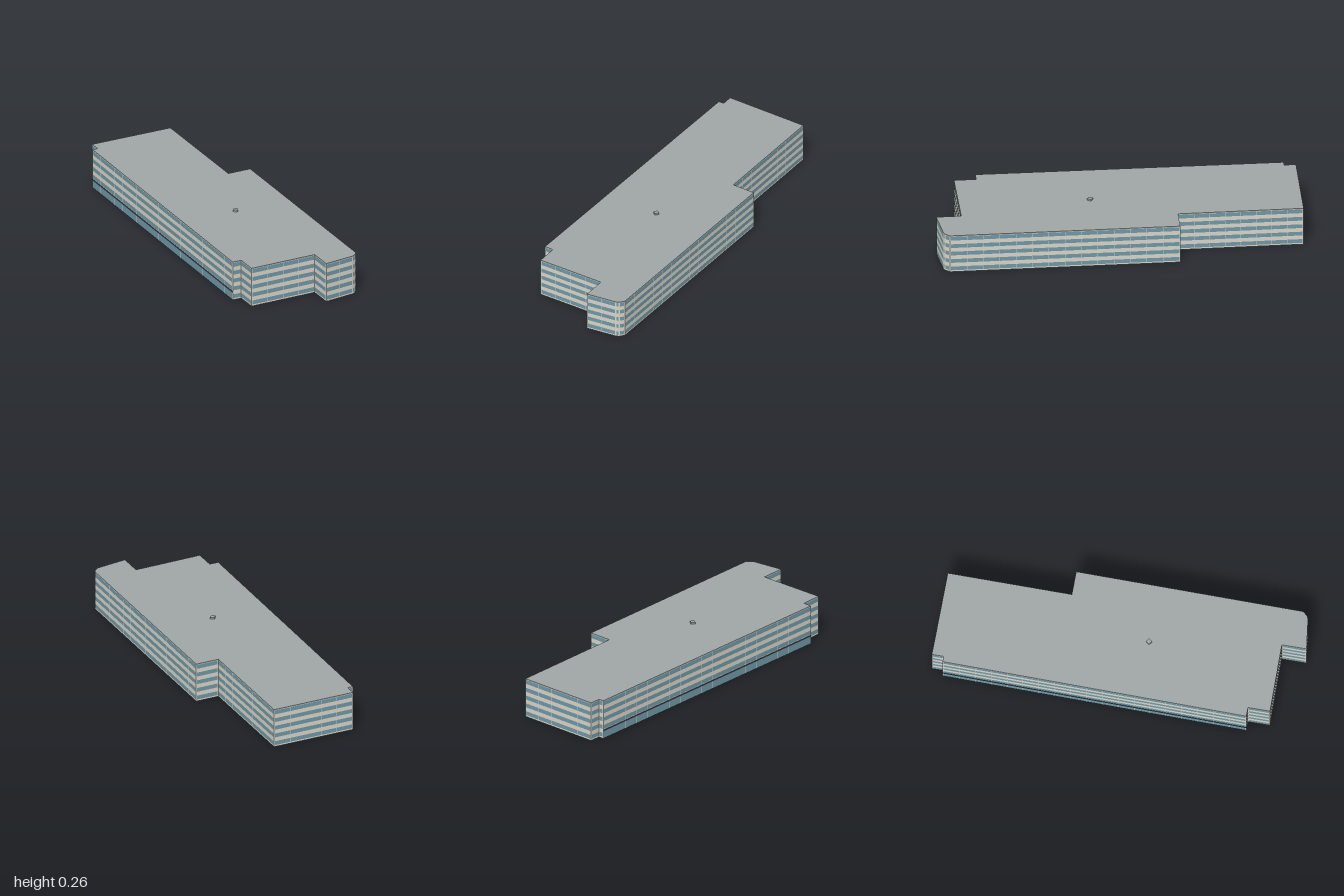
import * as THREE from 'three';

// Building footprint as [x, z], walked so the outside is on the right
const OUTLINE = [
  [-0.478, -1.0], [-0.911, -0.687], [-0.869, -0.629], [-0.896, -0.608],
  [0.193, 0.921], [0.24, 0.888], [0.32, 0.997], [0.668, 0.737],
  [0.758, 0.86], [0.899, 0.725], [0.908, 0.708], [0.911, 0.671],
  [0.092, -0.468], [-0.029, -0.38],
];
const ENTRANCE_EDGE = 3; // long side with the fully glazed ground floor
const TOP = 0.252, ROOF = 0.006, FLOORS = 5, PITCH = 0.052, BAY = 0.1;

const paint = (color, side = THREE.FrontSide) =>
  new THREE.MeshStandardMaterial({ color, side, flatShading: true });

export function createModel() {
  const model = new THREE.Group();
  model.name = 'officeBuilding';
  const cream = paint(0xd8d3c6, THREE.DoubleSide);
  const trim = paint(0xc9cac4);
  const glass = paint(0x6d97a5);
  const dark = paint(0x3a4652);
  const grey = paint(0x9fa6a5, THREE.DoubleSide);

  const add = (parent, name, geometry, material, x, y, z) => {
    const mesh = new THREE.Mesh(geometry, material);
    mesh.name = name;
    mesh.position.set(x, y, z);
    parent.add(mesh);
  };

  // One facade per outline edge: wall sheet, window bands and mullions
  OUTLINE.forEach(([x0, z0], i) => {
    const [x1, z1] = OUTLINE[(i + 1) % OUTLINE.length];
    const length = Math.hypot(x1 - x0, z1 - z0);
    const facade = new THREE.Group();
    facade.name = 'facade';
    facade.position.set((x0 + x1) / 2, 0, (z0 + z1) / 2);
    facade.rotation.y = Math.atan2(z0 - z1, x1 - x0);
    model.add(facade);

    const height = TOP - ROOF;
    add(facade, 'wall', new THREE.PlaneGeometry(length, height), cream, 0, height / 2, 0);

    const inset = Math.min(0.006, length * 0.15);
    const width = length - 2 * inset;
    const bays = Math.max(1, Math.round(width / BAY));
    for (let floor = 0; floor < FLOORS; floor++) {
      const entrance = i === ENTRANCE_EDGE && floor === 0;
      const h = entrance ? 0.048 : 0.026;
      const y = entrance ? 0.025 : 0.024 + floor * PITCH;
      add(facade, 'windowBand', new THREE.PlaneGeometry(width, h), glass, 0, y, 0.001);
      for (let b = 1; b < bays; b++) {
        add(facade, 'mullion', new THREE.PlaneGeometry(0.003, h), trim,
          -width / 2 + (b * width) / bays, y, 0.002);
      }
    }
    // Thin dark ledge above the glazed ground floor
    if (i === ENTRANCE_EDGE) {
      add(facade, 'ledge', new THREE.BoxGeometry(length, 0.008, 0.004), dark, 0, 0.053, 0.001);
    }
  });

  // Flat roof over the open-bottomed shell
  const shape = new THREE.Shape(OUTLINE.map(([x, z]) => new THREE.Vector2(x, -z)));
  const roof = new THREE.ExtrudeGeometry(shape, { depth: ROOF, bevelEnabled: false });
  roof.rotateX(-Math.PI / 2);
  add(model, 'roof', roof, grey, 0, TOP - ROOF, 0);

  // Small rooftop hatch
  add(model, 'roofHatch', new THREE.BoxGeometry(0.027, 0.011, 0.027), grey, 0.098, TOP + 0.0055, 0.166);

  return model;
}
